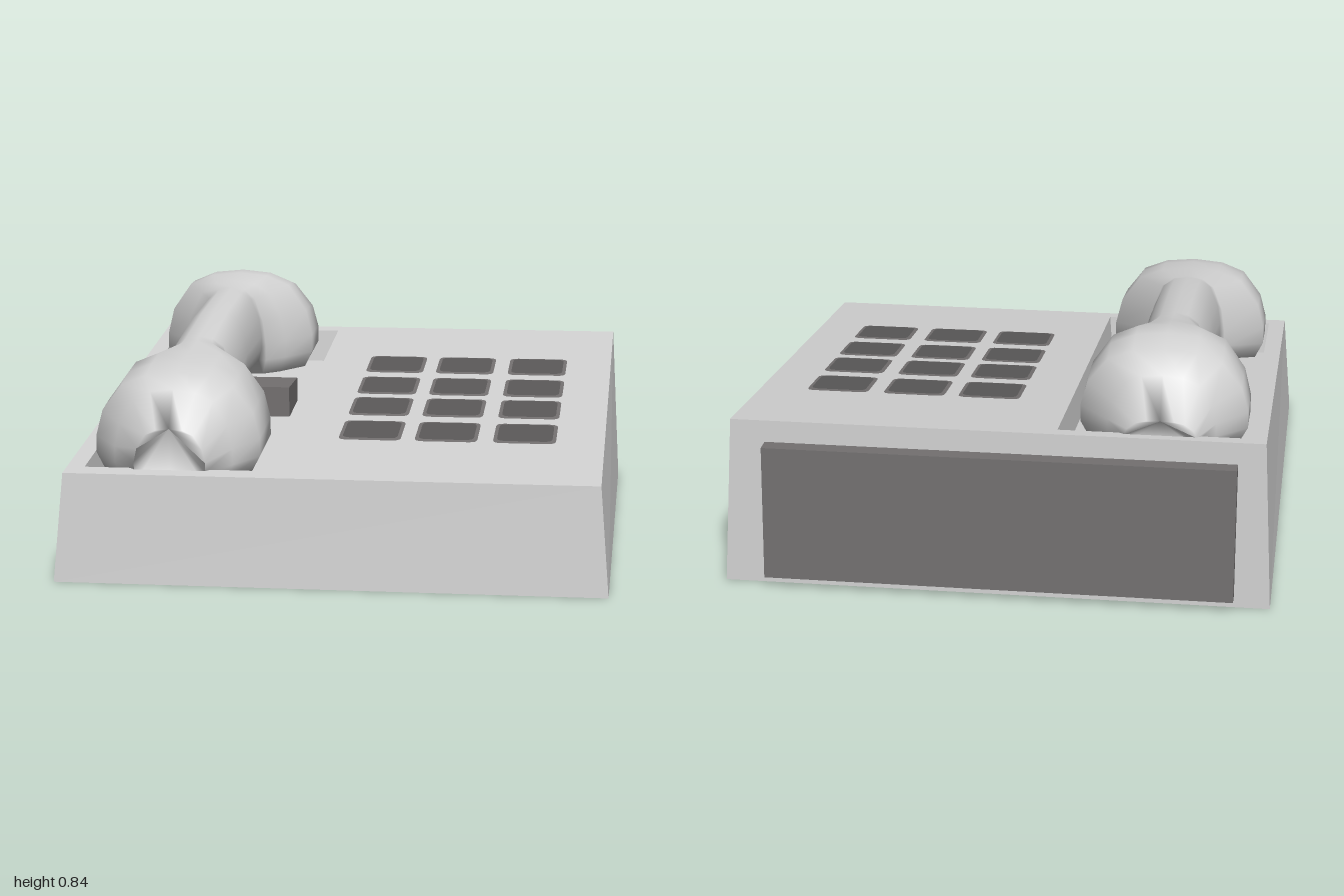
import * as THREE from 'three';

const mat = (name, color, side = THREE.FrontSide) => {
  const m = new THREE.MeshStandardMaterial({ color, side });
  m.name = name;
  return m;
};

// Height of the sloping top face at a given depth
const topY = (z) => 0.365 + (0.97 - z) * 0.111;

// Flat-shaded geometry from a list of four-cornered faces
function quads(list) {
  const pos = [];
  for (const [a, b, c, d] of list) pos.push(...a, ...b, ...c, ...a, ...c, ...d);
  const g = new THREE.BufferGeometry();
  g.setAttribute('position', new THREE.Float32BufferAttribute(pos, 3));
  g.computeVertexNormals();
  return g;
}

// Lays a flat shape, drawn in x and -z, onto the sloping top
function layOnTop(shape, offset) {
  const g = new THREE.ShapeGeometry(shape, 4);
  g.rotateX(-Math.PI / 2);
  const p = g.attributes.position;
  for (let i = 0; i < p.count; i++) p.setY(i, topY(p.getZ(i)) + offset);
  g.computeVertexNormals();
  return g;
}

function rectPath(path, x0, x1, z0, z1) {
  path.moveTo(x0, -z1);
  path.lineTo(x1, -z1);
  path.lineTo(x1, -z0);
  path.lineTo(x0, -z0);
  path.closePath();
  return path;
}

function roundedRect(cx, cz, w, d, r) {
  const s = new THREE.Shape();
  const x0 = cx - w / 2, x1 = cx + w / 2, y0 = -cz - d / 2, y1 = -cz + d / 2;
  s.moveTo(x0 + r, y0);
  s.lineTo(x1 - r, y0);
  s.quadraticCurveTo(x1, y0, x1, y0 + r);
  s.lineTo(x1, y1 - r);
  s.quadraticCurveTo(x1, y1, x1 - r, y1);
  s.lineTo(x0 + r, y1);
  s.quadraticCurveTo(x0, y1, x0, y1 - r);
  s.lineTo(x0, y0 + r);
  s.quadraticCurveTo(x0, y0, x0 + r, y0);
  return s;
}

// Smooth handset lofted through sections along z: [z, half width, bottom, top]
function handsetGeometry() {
  const sections = [
    [0.915, 0.12, 0.34, 0.51], [0.84, 0.2, 0.33, 0.63], [0.76, 0.28, 0.34, 0.672],
    [0.65, 0.28, 0.35, 0.695], [0.52, 0.28, 0.365, 0.71], [0.38, 0.14, 0.4, 0.722],
    [0.34, 0.125, 0.465, 0.73], [0.03, 0.12, 0.535, 0.775], [-0.3, 0.12, 0.54, 0.805],
    [-0.34, 0.13, 0.48, 0.81], [-0.43, 0.19, 0.475, 0.82], [-0.53, 0.28, 0.48, 0.84],
    [-0.62, 0.28, 0.49, 0.84], [-0.72, 0.28, 0.5, 0.815], [-0.82, 0.18, 0.515, 0.76],
    [-0.875, 0.12, 0.54, 0.62],
  ];
  const half = [[0.38, 0.97], [0.68, 0.87], [0.92, 0.6], [1, 0.34], [1, 0.16], [0.9, 0]];
  const ring = [[0, 1], ...half, [0, 0], ...half.map(([x, y]) => [-x, y]).reverse()];
  const n = ring.length, pos = [], index = [];
  for (const [z, w, lo, hi] of sections)
    for (const [x, y] of ring) pos.push(-0.54 + x * w, lo + y * (hi - lo), z);
  for (let s = 0; s < sections.length - 1; s++)
    for (let i = 0; i < n; i++) {
      const a = s * n + i, b = s * n + (i + 1) % n;
      index.push(a, a + n, b, b, a + n, b + n);
    }
  const last = (sections.length - 1) * n;
  for (let i = 1; i < n - 1; i++) {
    index.push(0, i + 1, i);
    index.push(last, last + i, last + i + 1);
  }
  const g = new THREE.BufferGeometry();
  g.setAttribute('position', new THREE.Float32BufferAttribute(pos, 3));
  g.setIndex(index);
  g.computeVertexNormals();
  return g;
}

export function createModel() {
  const group = new THREE.Group();
  const shell = mat('light grey', 0xd2d2d2);
  const handsetMat = mat('handset grey', 0xd2d2d2, THREE.DoubleSide);
  const dark = mat('dark grey', 0x737070);
  const keyMat = mat('key grey', 0x5a5858);
  const add = (name, geometry, material, parent = group) => {
    const m = new THREE.Mesh(geometry, material);
    m.name = name;
    parent.add(m);
    return m;
  };

  // Wedge body: tapered walls and underside
  const [bl, br, bf, bb] = [-0.92, 0.92, 1, -0.945];
  const [tl, tr, tf, tb] = [-0.89, 0.89, 0.97, -0.92];
  const B = [[bl, 0, bf], [br, 0, bf], [br, 0, bb], [bl, 0, bb]];
  const T = [[tl, tf], [tr, tf], [tr, tb], [tl, tb]].map(([x, z]) => [x, topY(z), z]);
  const walls = B.map((b, i) => [b, B[(i + 1) % 4], T[(i + 1) % 4], T[i]]);
  add('body', quads([...walls, [B[3], B[2], B[1], B[0]]]), shell);

  // Sloping top with an opening for the handset well
  const [wl, wr, wf, wb, depth] = [-0.83, -0.2, 0.9, -0.86, 0.12];
  const top = rectPath(new THREE.Shape(), tl, tr, tb, tf);
  top.holes.push(rectPath(new THREE.Path(), wl, wr, wb, wf));
  add('topPanel', layOnTop(top, 0), shell);

  // Handset well: walls facing inwards and a floor
  const W = [[wl, wf], [wr, wf], [wr, wb], [wl, wb]];
  const rim = W.map(([x, z]) => [x, topY(z), z]);
  const inset = [[0.01, -0.01], [-0.01, -0.01], [-0.01, 0.01], [0.01, 0.01]];
  const floor = W.map(([x, z], i) => {
    const fz = z + inset[i][1];
    return [x + inset[i][0], topY(fz) - depth, fz];
  });
  const wellWalls = rim.map((r, i) => [r, rim[(i + 1) % 4], floor[(i + 1) % 4], floor[i]]);
  add('handsetWell', quads([...wellWalls, floor]), shell);

  // Rest block under the grip
  add('handsetRest', new THREE.BoxGeometry(0.47, 0.11, 0.21), dark).position.set(-0.52, 0.42, -0.195);

  // Keypad: four rows of three keys, each with a thin border
  const keypad = new THREE.Group();
  keypad.name = 'keypad';
  group.add(keypad);
  for (const z of [-0.385, -0.105, 0.158, 0.44])
    for (const x of [0.085, 0.348, 0.617]) {
      add('keyBorder', layOnTop(roundedRect(x, z, 0.215, 0.22, 0.03), 0.003), dark, keypad);
      add('key', layOnTop(roundedRect(x, z, 0.19, 0.19, 0.03), 0.006), keyMat, keypad);
    }

  // Back plate, leaning with the rear wall
  const plate = new THREE.BoxGeometry(1.575, 0.46, 0.06);
  const p = plate.attributes.position;
  for (let i = 0; i < p.count; i++) p.setZ(i, p.getZ(i) + p.getY(i) * 0.043);
  plate.computeVertexNormals();
  add('backPlate', plate, dark).position.set(-0.0125, 0.27, -0.96);

  add('handset', handsetGeometry(), handsetMat);
  return group;
}
